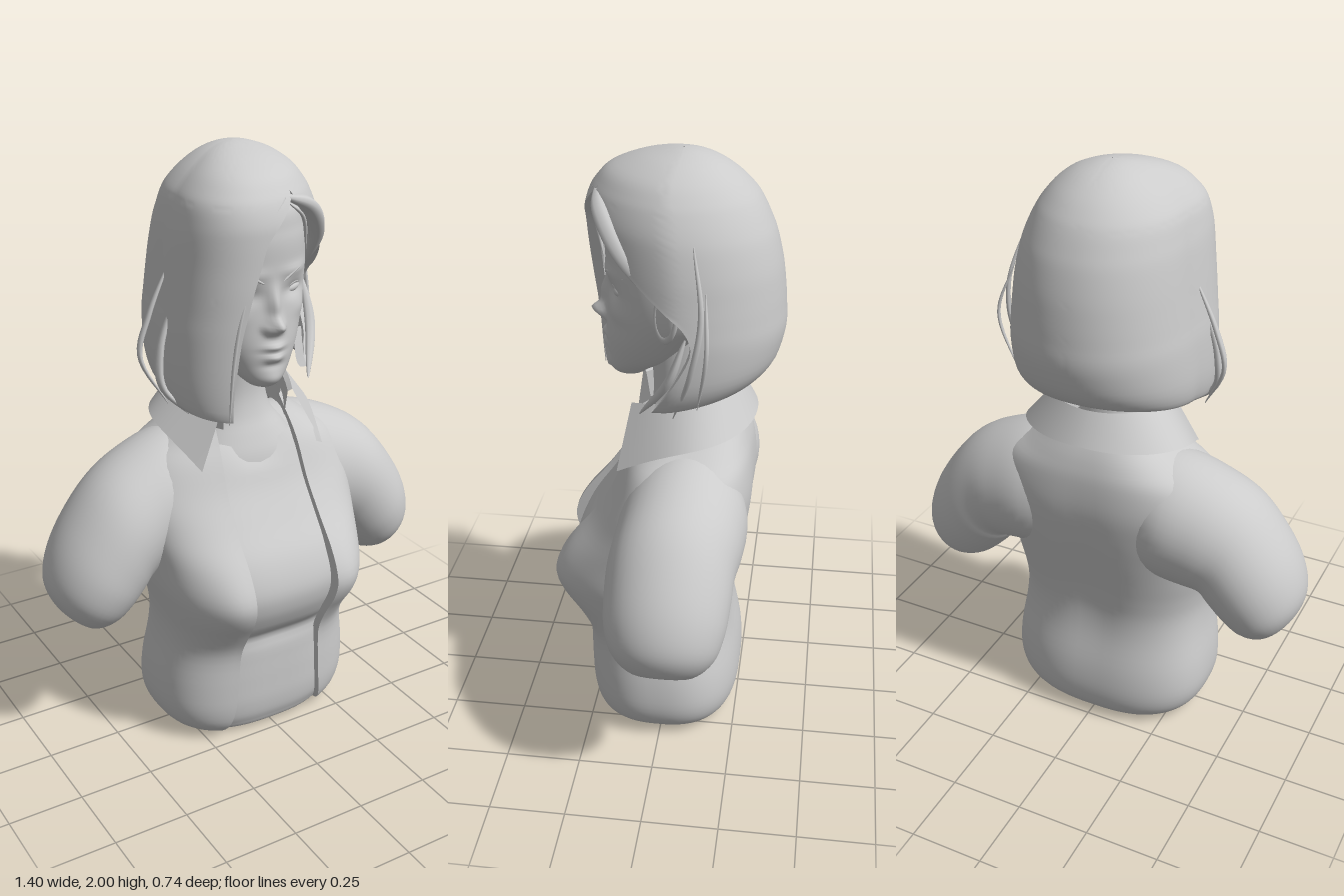
import * as THREE from 'three';
import { toCreasedNormals } from 'three/addons/utils/BufferGeometryUtils.js';

const grey = new THREE.MeshStandardMaterial({ color: 0xcccccc, side: THREE.DoubleSide, roughness: 0.8 });
const RAD = Math.PI / 180;

function mesh(name, geometry) {
  const m = new THREE.Mesh(geometry, grey);
  m.name = name;
  return m;
}

// Skin a surface over rows of points; closed rows wrap around
function loft(rows, closed = true, crease = 0) {
  const n = rows[0].length, pos = [], idx = [];
  rows.forEach(r => r.forEach(p => pos.push(p[0], p[1], p[2])));
  for (let i = 0; i < rows.length - 1; i++)
    for (let j = 0; j < (closed ? n : n - 1); j++) {
      const a = i * n + j, b = i * n + (j + 1) % n;
      idx.push(a, b, a + n, b, b + n, a + n);
    }
  const g = new THREE.BufferGeometry();
  g.setAttribute('position', new THREE.Float32BufferAttribute(pos, 3));
  g.setIndex(idx);
  g.computeVertexNormals();
  return crease ? toCreasedNormals(g, crease) : g;
}

// Smoothly subdivide a table of section parameters
function smooth(keys, sub) {
  const out = [], at = i => keys[Math.max(0, Math.min(keys.length - 1, i))];
  for (let i = 0; i < keys.length - 1; i++)
    for (let s = 0; s < sub; s++) {
      const t = s / sub;
      out.push(keys[i].map((p1, c) => {
        const p0 = at(i - 1)[c], p2 = at(i + 1)[c], p3 = at(i + 2)[c];
        return p1 + 0.5 * t * (p2 - p0 + t * (2 * p0 - 5 * p1 + 4 * p2 - p3 + t * (3 * (p1 - p2) + p3 - p0)));
      }));
    }
  out.push(keys[keys.length - 1]);
  return out;
}

const spow = (v, e) => Math.sign(v) * Math.pow(Math.abs(v), e);
const bump = (x, y, x0, y0, a, sx, sy) => a * Math.exp(-(((x - x0) / sx) ** 2) - ((y - y0) / sy) ** 2);

// Point on a rounded section; angle 0 is the front, growing towards +x
function onSection(a, y, hx, zb, zf, n = 2) {
  const zc = (zb + zf) / 2, hz = (zf - zb) / 2;
  return [hx * spow(Math.sin(a), 2 / n), y, zc + hz * spow(Math.cos(a), 2 / n)];
}
const ring = (n, f) => Array.from({ length: n }, (_, j) => f((j / n) * Math.PI * 2));

// Arc of points whose two ends fold inwards to give the edge some thickness
function foldedArc(n, a0, a1, f) {
  const pts = Array.from({ length: n + 1 }, (_, j) => f(a0 + ((a1 - a0) * j) / n, 1));
  return [f(a0, 0.88), ...pts, f(a1, 0.88)];
}

// Tapered lock, brow or lid along a curve
function strand(points, radius, flat = 1) {
  const curve = new THREE.CatmullRomCurve3(points.map(p => new THREE.Vector3(...p)));
  const N = 20, fr = curve.computeFrenetFrames(N), rows = [];
  for (let i = 0; i <= N; i++) {
    const c = curve.getPoint(i / N), r = radius * Math.pow(Math.sin(Math.PI * (0.04 + 0.94 * i / N)), 0.7);
    rows.push(ring(8, a => c.clone().addScaledVector(fr.normals[i], r * Math.cos(a))
      .addScaledVector(fr.binormals[i], r * flat * Math.sin(a)).toArray()));
  }
  return loft(rows);
}

// Torso sections: y, half width, back z, front z, half width of the jacket opening
const TORSO = [
  [0.06, 0.22, -0.16, 0.17, 0.18], [0.012, 0.27, -0.2, 0.21, 0.2], [0.05, 0.33, -0.24, 0.25, 0.185],
  [0.12, 0.36, -0.256, 0.266, 0.17], [0.22, 0.36, -0.25, 0.27, 0.162], [0.35, 0.342, -0.225, 0.275, 0.155],
  [0.44, 0.34, -0.22, 0.31, 0.152], [0.52, 0.352, -0.23, 0.345, 0.155], [0.6, 0.368, -0.245, 0.353, 0.158],
  [0.7, 0.378, -0.265, 0.32, 0.158], [0.8, 0.395, -0.28, 0.25, 0.157], [0.9, 0.405, -0.287, 0.185, 0.152],
  [1.0, 0.355, -0.278, 0.142, 0.147], [1.06, 0.27, -0.262, 0.115, 0.142], [1.11, 0.205, -0.24, 0.09, 0.135],
  [1.16, 0.165, -0.21, 0.07, 0.125]];

function jacket() {
  const rows = smooth(TORSO, 4).map(([y, hx, zb, zf, open]) => {
    const a0 = Math.asin(Math.min(0.95, Math.pow(open / hx, 1.3)));
    return foldedArc(72, a0, Math.PI * 2 - a0, (a, k) => {
      const p = onSection(a, y, hx, zb, zf, 2.6);
      if (Math.cos(a) > 0) p[2] += bump(Math.abs(p[0]), y, 0.225, 0.59, 0.042, 0.1, 0.13);
      else p[2] += bump(p[0], y, 0, 0.6, 0.015, 0.09, 0.3); // spine hollow
      const zc = (zb + zf) / 2;
      return [p[0] * (k < 1 ? 0.98 : 1), y, zc + (p[2] - zc) * k];
    });
  });
  return loft(rows, false, 0.8);
}

function shirt() {
  const keys = TORSO.slice(1, -2).map(([y, hx, zb, zf]) => [y, hx - 0.025, zb + 0.025, zf - 0.02]);
  keys.unshift([0.005, 0.005, -0.005, 0.005]);
  return loft(smooth(keys, 5).map(([y, hx, zb, zf]) => ring(72, a => {
    const p = onSection(a, y, hx, zb, zf, 2.6);
    if (Math.cos(a) > 0) {
      p[2] += bump(p[0], y, 0, 0.39, -0.022, 0.25, 0.035); // fold under the bust
      p[1] -= Math.max(0, y - 0.95) * 0.5 * Math.exp(-((p[0] / 0.1) ** 2)); // scooped neckline
    }
    return p;
  })));
}

// Sleeve stump, from outer and inner edge: xo, yo, xi, yi, z centre, half depth
function arm(s) {
  const keys = [[0.08, 1.08, 0.1, 0.64, -0.09, 0.14], [0.25, 1.075, 0.22, 0.62, -0.08, 0.2],
    [0.4, 1.025, 0.32, 0.605, -0.07, 0.205], [0.52, 0.95, 0.36, 0.595, -0.057, 0.202], [0.62, 0.83, 0.38, 0.57, -0.053, 0.2],
    [0.68, 0.72, 0.425, 0.52, -0.05, 0.19], [0.7, 0.62, 0.48, 0.472, -0.05, 0.16],
    [0.67, 0.535, 0.55, 0.45, -0.05, 0.095], [0.612, 0.482, 0.61, 0.48, -0.05, 0.002]];
  const rows = smooth(keys, 5).map(([xo, yo, xi, yi, z, d]) => ring(40, a => {
    const c = Math.cos(a) / 2;
    return [s * ((xo + xi) / 2 + (xo - xi) * c), (yo + yi) / 2 + (yo - yi) * c, z + d * Math.sin(a)];
  }));
  return loft(s > 0 ? rows : rows.reverse());
}

// Turned-down collar: stand, roll and pointed leaf
function collar() {
  const rows = [[], [], [], [], []];
  for (let j = 0; j <= 48; j++) {
    const t = j / 48, f = Math.pow(Math.abs(2 * t - 1), 3);
    const at = (edge, r, zc, d, y) => {
      const a = (edge + (360 - 2 * edge) * t) * RAD;
      return [r * Math.sin(a), y, zc + d * Math.cos(a)];
    };
    const yTop = 1.25 - 0.05 * f, yLow = 1.145 - 0.03 * Math.abs(2 * t - 1) - 0.115 * f * f;
    rows[0].push(at(45, 0.165, -0.07, 0.16 + 0.06 * f, 1.1));
    rows[1].push(at(45, 0.17, -0.07, 0.15 + 0.09 * f, yTop - 0.01));
    rows[2].push(at(45, 0.185, -0.07, 0.165 + 0.09 * f, yTop));
    rows[3].push(at(54, 0.285, -0.07, 0.218 + 0.15 * f * f, yLow));
    rows[4].push(at(54, 0.27, -0.07, 0.2 + 0.14 * f * f, yLow + 0.002));
  }
  return loft(rows, false, 0.7);
}

// Head with the face pushed out or in by soft bumps: x, y, amount, width, height
const FACE = [[0, 1.53, 0.028, 0.02, 0.055], [0, 1.468, 0.048, 0.024, 0.024], [0.026, 1.457, 0.018, 0.014, 0.014],
  [0.09, 1.565, -0.016, 0.045, 0.024], [0.09, 1.63, 0.008, 0.06, 0.018], [0, 1.396, 0.017, 0.034, 0.013],
  [0, 1.362, 0.018, 0.03, 0.014], [0, 1.38, -0.007, 0.045, 0.005], [0, 1.335, -0.005, 0.04, 0.012],
  [0, 1.285, 0.008, 0.035, 0.025], [0.13, 1.5, 0.008, 0.04, 0.03]];

function head() {
  const keys = [[1.252, 0.004, 0.13, 0.14], [1.258, 0.04, 0.09, 0.175], [1.285, 0.073, 0.05, 0.195],
    [1.33, 0.11, -0.03, 0.202], [1.4, 0.148, -0.1, 0.205], [1.48, 0.181, -0.18, 0.2], [1.56, 0.2, -0.22, 0.196],
    [1.65, 0.205, -0.25, 0.203], [1.75, 0.2, -0.25, 0.202], [1.85, 0.165, -0.2, 0.165], [1.93, 0.01, -0.05, -0.03]];
  return loft(smooth(keys, 9).map(([y, hx, zb, zf]) => ring(128, a => {
    const p = onSection(a, y, hx, zb, zf, 2.1);
    if (Math.cos(a) > 0) for (const f of FACE) p[2] += bump(Math.abs(p[0]), y, ...f);
    return p;
  })));
}

function neck() {
  const keys = [[0.94, 0.24, -0.22, 0.13], [1.0, 0.21, -0.21, 0.118], [1.06, 0.165, -0.19, 0.095],
    [1.12, 0.12, -0.165, 0.07], [1.2, 0.1, -0.148, 0.055], [1.32, 0.098, -0.14, 0.06], [1.42, 0.1, -0.14, 0.06]];
  return loft(smooth(keys, 4).map(k => ring(40, a => onSection(a, ...k, 2.2))));
}

// Bob: y, right x, left x, back z, front z, left and right edge angles of the face opening
function hair() {
  const keys = [[1.36, -0.24, 0.25, -0.28, 0.22, 88, -20], [1.27, -0.25, 0.25, -0.28, 0.23, 82, -20],
    [1.245, -0.275, 0.275, -0.305, 0.255, 80, -20], [1.32, -0.29, 0.305, -0.345, 0.268, 88, -19],
    [1.45, -0.287, 0.31, -0.368, 0.275, 98, -15], [1.53, -0.278, 0.305, -0.366, 0.278, 95, -12],
    [1.6, -0.27, 0.298, -0.36, 0.28, 82, -9], [1.67, -0.262, 0.29, -0.35, 0.28, 67, -5],
    [1.75, -0.252, 0.275, -0.33, 0.28, 54, 0], [1.8, -0.242, 0.26, -0.31, 0.277, 45, 9],
    [1.85, -0.228, 0.237, -0.285, 0.262, 33, 21], [1.885, -0.207, 0.215, -0.26, 0.24, 26, 26],
    [1.93, -0.165, 0.175, -0.215, 0.195, 26, 26], [1.97, -0.108, 0.115, -0.155, 0.105, 26, 26],
    [1.993, -0.05, 0.05, -0.093, 0.015, 26, 26], [2.0, -0.002, 0.002, -0.042, -0.038, 26, 26]];
  const rows = smooth(keys, 4).map(([y, xr, xl, zb, zf, l, r]) =>
    foldedArc(90, l * RAD, (360 + r) * RAD, (a, k) => {
      const c = Math.cos(a), w = Math.min(1, Math.max(0, (1.45 - y) / 0.2));
      const p = onSection(a, y, (xl - xr) / 2, zb, zf, 2.1), zc = (zb + zf) / 2;
      const x = p[0] + (xl + xr) / 2 - 0.135 * (zf - zb) * Math.max(0, c);
      return [x * k, y - 0.06 * c * w, zc + (p[2] - zc) * k];
    }));
  return loft(rows, false, 0.8);
}

export function createModel() {
  const g = new THREE.Group();
  g.name = 'bust';
  g.add(mesh('shirt', shirt()), mesh('jacket', jacket()), mesh('collar', collar()),
    mesh('neck', neck()), mesh('head', head()), mesh('hair', hair()));

  for (const s of [1, -1]) {
    const side = s > 0 ? 'left' : 'right';
    g.add(mesh(side + 'Sleeve', arm(s)));

    const eye = mesh(side + 'Eye', new THREE.SphereGeometry(1, 24, 16));
    eye.scale.set(0.038, 0.017, 0.02);
    eye.position.set(s * 0.092, 1.565, 0.147);
    eye.rotation.set(0, s * 0.35, s * 0.1);
    g.add(eye);
    g.add(mesh(side + 'Lid', strand([[s * 0.05, 1.56, 0.168], [s * 0.088, 1.584, 0.166], [s * 0.138, 1.573, 0.135]], 0.006)));
    g.add(mesh(side + 'Brow', strand([[s * 0.035, 1.603, 0.2], [s * 0.09, 1.632, 0.183], [s * 0.16, 1.63, 0.125]], 0.007)));

    // Ear: flat lobe with a raised rim
    const ear = new THREE.Group();
    ear.name = side + 'Ear';
    const lobe = mesh('earLobe', new THREE.SphereGeometry(1, 20, 14));
    lobe.scale.set(0.04, 0.078, 0.014);
    const rim = mesh('earRim', new THREE.TorusGeometry(0.041, 0.008, 8, 28));
    rim.scale.set(1, 1.95, 1);
    ear.add(lobe, rim);
    ear.position.set(s * 0.232, 1.55, -0.015);
    ear.rotation.set(0, s * 0.95, -s * 0.12);
    g.add(ear);
  }

  // Loose locks around the bob and the fringe swept over the left temple
  [[[[0.26, 1.78, -0.1], [0.32, 1.58, -0.13], [0.325, 1.4, -0.1], [0.26, 1.22, -0.04]], 0.01],
    [[[0.29, 1.65, -0.14], [0.35, 1.48, -0.15], [0.31, 1.28, -0.12]], 0.007],
    [[[0.29, 1.5, -0.08], [0.29, 1.36, -0.03], [0.22, 1.21, 0.07]], 0.02],
    [[[-0.26, 1.65, 0], [-0.33, 1.5, 0], [-0.365, 1.37, 0], [-0.29, 1.21, 0.04]], 0.012],
    [[[-0.27, 1.55, 0.05], [-0.32, 1.4, 0.05], [-0.32, 1.28, 0.06], [-0.25, 1.19, 0.1]], 0.018],
    [[[-0.08, 1.75, 0.265], [-0.15, 1.55, 0.262], [-0.175, 1.4, 0.255], [-0.19, 1.19, 0.25]], 0.009],
    [[[0.03, 1.85, 0.23], [0.09, 1.8, 0.215], [0.12, 1.69, 0.19]], 0.008],
    [[[0.02, 1.87, 0.225], [0.12, 1.83, 0.19], [0.2, 1.73, 0.12], [0.235, 1.6, 0.02]], 0.036],
    [[[0.01, 1.87, 0.235], [-0.05, 1.82, 0.25], [-0.11, 1.7, 0.25], [-0.15, 1.55, 0.245]], 0.022],
  ].forEach(([pts, r], i) => g.add(mesh('lock' + (i + 1), strand(pts, r, 0.7))));
  return g;
}
